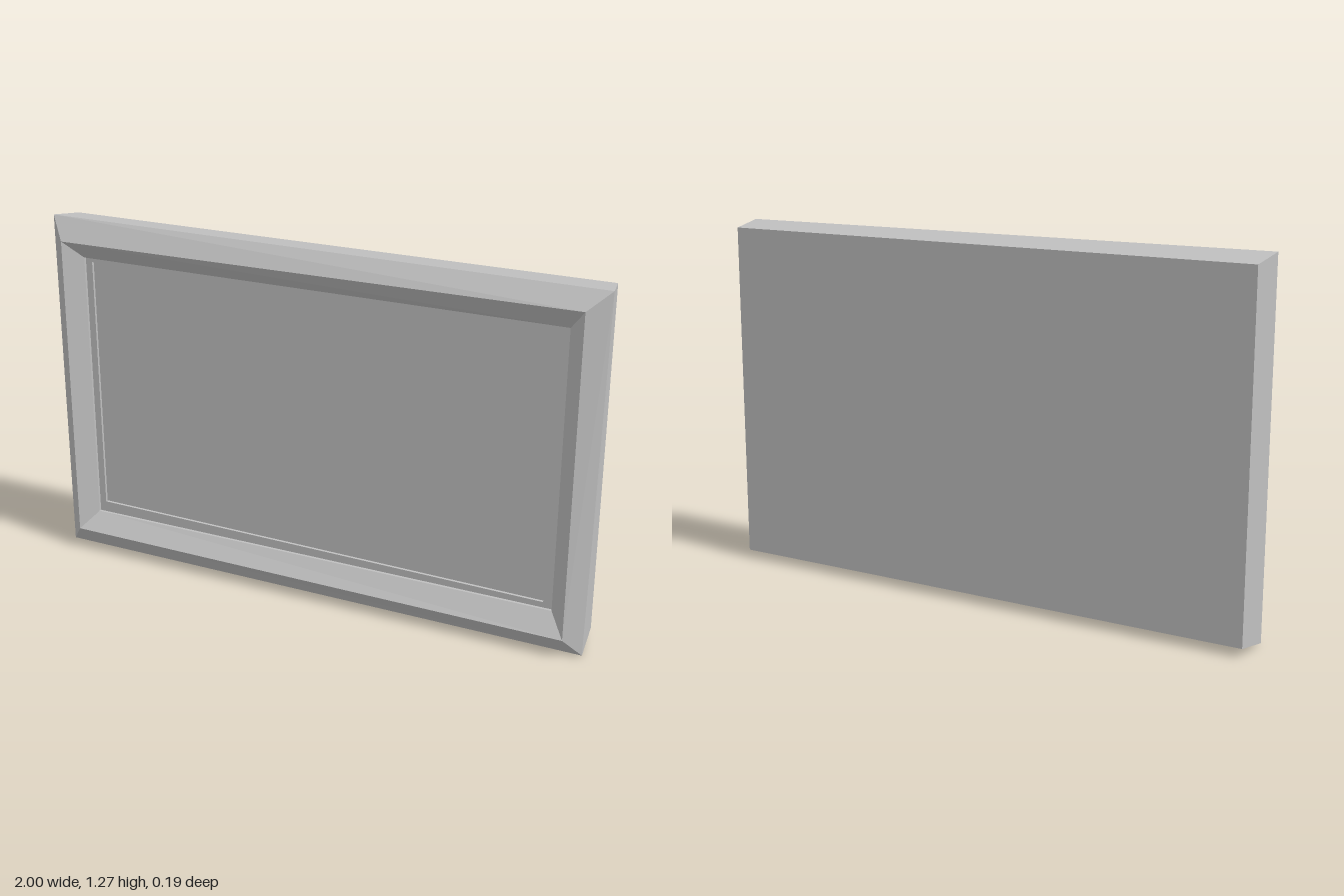
import * as THREE from 'three';

// A loop is four [x, y] corners (top left, top right, bottom right, bottom left) at depth z
const loop = (z, ...corners) => corners.map(([x, y]) => [x, y, z]);
const rect = (z, x0, x1, y0, y1) => loop(z, [x0, y1], [x1, y1], [x1, y0], [x0, y0]);

// Faces between successive loops, listed from back to front and then inwards
function skin(loops, capStart = false, capEnd = false) {
  const pos = [];
  const quad = (a, b, c, d) => pos.push(...a, ...b, ...c, ...a, ...c, ...d);
  for (let k = 0; k < loops.length - 1; k++) {
    const p = loops[k], q = loops[k + 1];
    for (let i = 0; i < 4; i++) {
      const j = (i + 1) % 4;
      quad(p[i], q[i], q[j], p[j]);
    }
  }
  if (capStart) quad(...loops[0]);
  if (capEnd) quad(...[...loops[loops.length - 1]].reverse());
  const geo = new THREE.BufferGeometry();
  geo.setAttribute('position', new THREE.Float32BufferAttribute(pos, 3));
  geo.computeVertexNormals();
  return geo;
}

export function createModel() {
  const group = new THREE.Group();
  const grey = new THREE.MeshStandardMaterial({ color: 0xc0c0c0 });
  grey.name = 'grey';
  const add = (name, geometry) => {
    const mesh = new THREE.Mesh(geometry, grey);
    mesh.name = name;
    group.add(mesh);
  };

  const back = rect(-0.095, -0.988, 0.975, 0.03, 1.243);
  const rim = loop(0.042, [-1, 1.267], [1, 1.26], [0.986, 0], [-1, 0.005]);
  const ridge = loop(0.095, [-0.94, 1.19], [0.93, 1.2], [0.93, 0.07], [-0.94, 0.08]);
  const lip = rect(0.04, -0.885, 0.873, 0.14, 1.125);
  const linerOuter = rect(0.03, -0.885, 0.873, 0.14, 1.125);
  const opening = [[-0.86, 1.11], [0.85, 1.092], [0.84, 0.16], [-0.86, 0.18]];
  const linerInner = loop(0.03, ...opening);
  const panel = loop(0.02, ...opening);

  // Solid back and sides, then the raised moulding sloping down to its lip
  add('frameBody', skin([back, rim], true));
  add('moulding', skin([rim, ridge, lip, linerOuter]));
  // Flat border and the recessed picture surface
  add('liner', skin([linerOuter, linerInner]));
  add('picturePanel', skin([linerInner, panel], false, true));
  return group;
}
